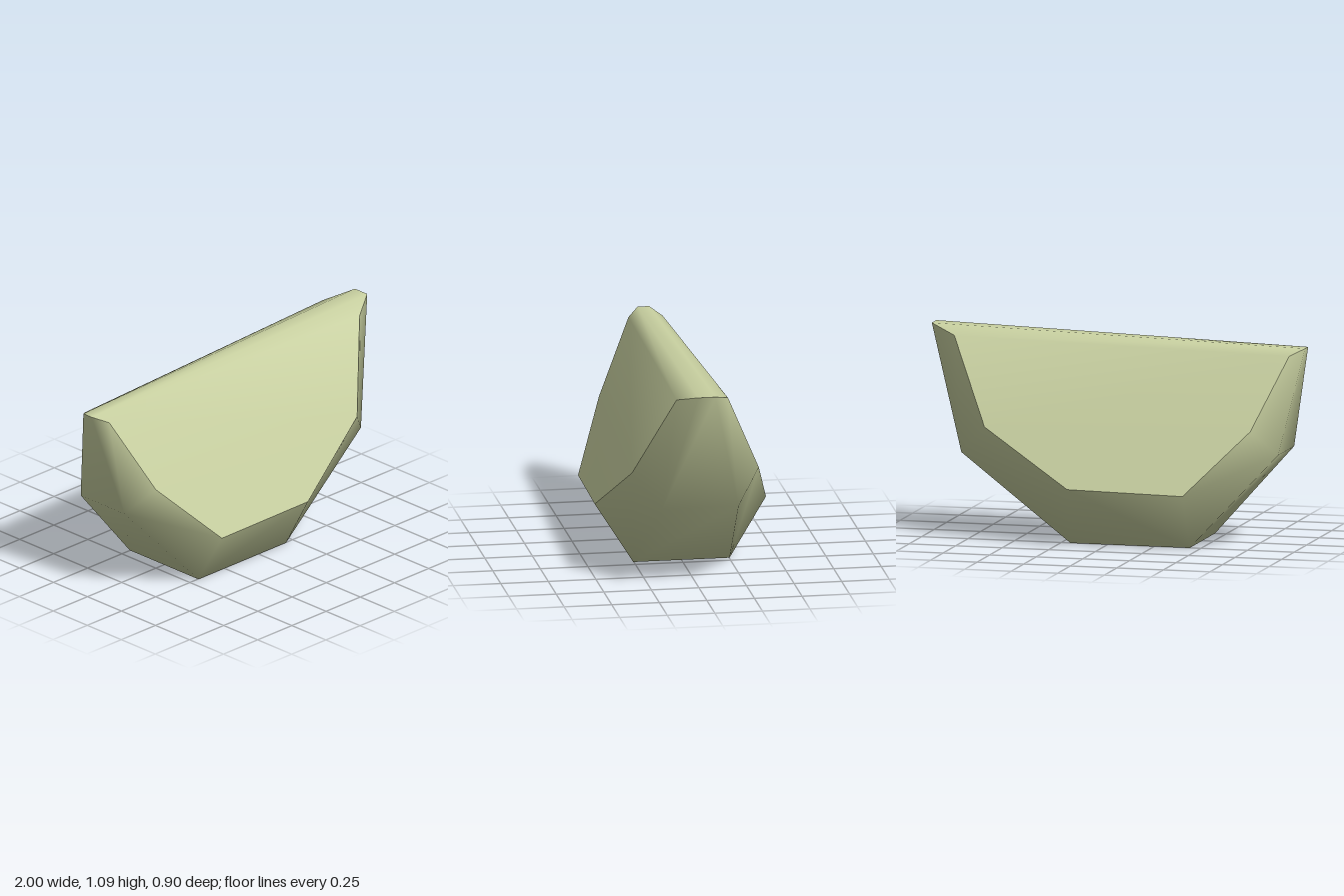
import * as THREE from 'three';

// Half outlines in x, y, z; the other half is mirrored across z = 0
const tipA = [-1, 1.035, 0.03];
const tipB = [1, 1.092, 0.045];
const cutRim = [
  [-0.93, 1.0, 0.09], [-0.77, 0.625, 0.272], [-0.45, 0.297, 0.435],
  [0.165, 0.311, 0.45], [0.64, 0.603, 0.333], [0.855, 1.045, 0.135],
];
const keel = [[-0.89, 0.49, 0.16], [-0.44, 0, 0.253], [0.2, 0, 0.253], [0.8, 0.445, 0.2]];
const inside = new THREE.Vector3(0, 0.6, 0);
const mirror = (p) => [p[0], p[1], -p[2]];

// Smooth surface from polygons that share corners, each wound to face outward
function surface(polygons) {
  const ids = new Map(), positions = [], index = [];
  const id = (p) => {
    const key = p.join();
    if (!ids.has(key)) {
      ids.set(key, positions.length / 3);
      positions.push(...p);
    }
    return ids.get(key);
  };
  for (const poly of polygons) {
    for (let i = 1; i < poly.length - 1; i++) {
      const t = [poly[0], poly[i], poly[i + 1]];
      const [a, b, c] = t.map((p) => new THREE.Vector3(...p));
      const normal = b.clone().sub(a).cross(c.clone().sub(a));
      if (normal.dot(a.clone().add(b).add(c).divideScalar(3).sub(inside)) < 0) t.reverse();
      index.push(...t.map(id));
    }
  }
  const g = new THREE.BufferGeometry();
  g.setAttribute('position', new THREE.Float32BufferAttribute(positions, 3));
  g.setIndex(index);
  g.computeVertexNormals();
  return g;
}

const bothSides = (polys) => [...polys, ...polys.map((poly) => poly.map(mirror))];

export function createModel() {
  const group = new THREE.Group();
  group.name = 'fruitWedge';
  const paleGreen = new THREE.MeshStandardMaterial({ color: 0xc8d0a0 });
  paleGreen.name = 'paleGreen';
  const add = (name, polygons) => {
    const mesh = new THREE.Mesh(surface(polygons), paleGreen);
    mesh.name = name;
    group.add(mesh);
  };

  // Two cut faces joined by a softly rounded ridge
  const [c1, c2, c3, c4, c5, c6] = cutRim;
  add('cutFaces', [
    [tipA, tipB, mirror(tipB), mirror(tipA)],
    ...bothSides([[tipA, tipB, c6, c1], [c1, c6, c5, c2], [c2, c5, c4, c3]]),
  ]);

  // Rind: a centre strip from tip to tip, with a band up to each cut rim
  const [k1, k2, k3, k4] = keel;
  const spine = [tipA, ...keel, tipB];
  const centre = spine.slice(1).map((p, i) => [spine[i], p, mirror(p), mirror(spine[i])]);
  add('rind', [
    ...centre,
    ...bothSides([
      [k1, tipA, c1, c2], [k1, c2, c3, k2], [k2, c3, c4, k3],
      [k3, c4, c5, k4], [k4, c5, c6, tipB],
    ]),
  ]);
  return group;
}
